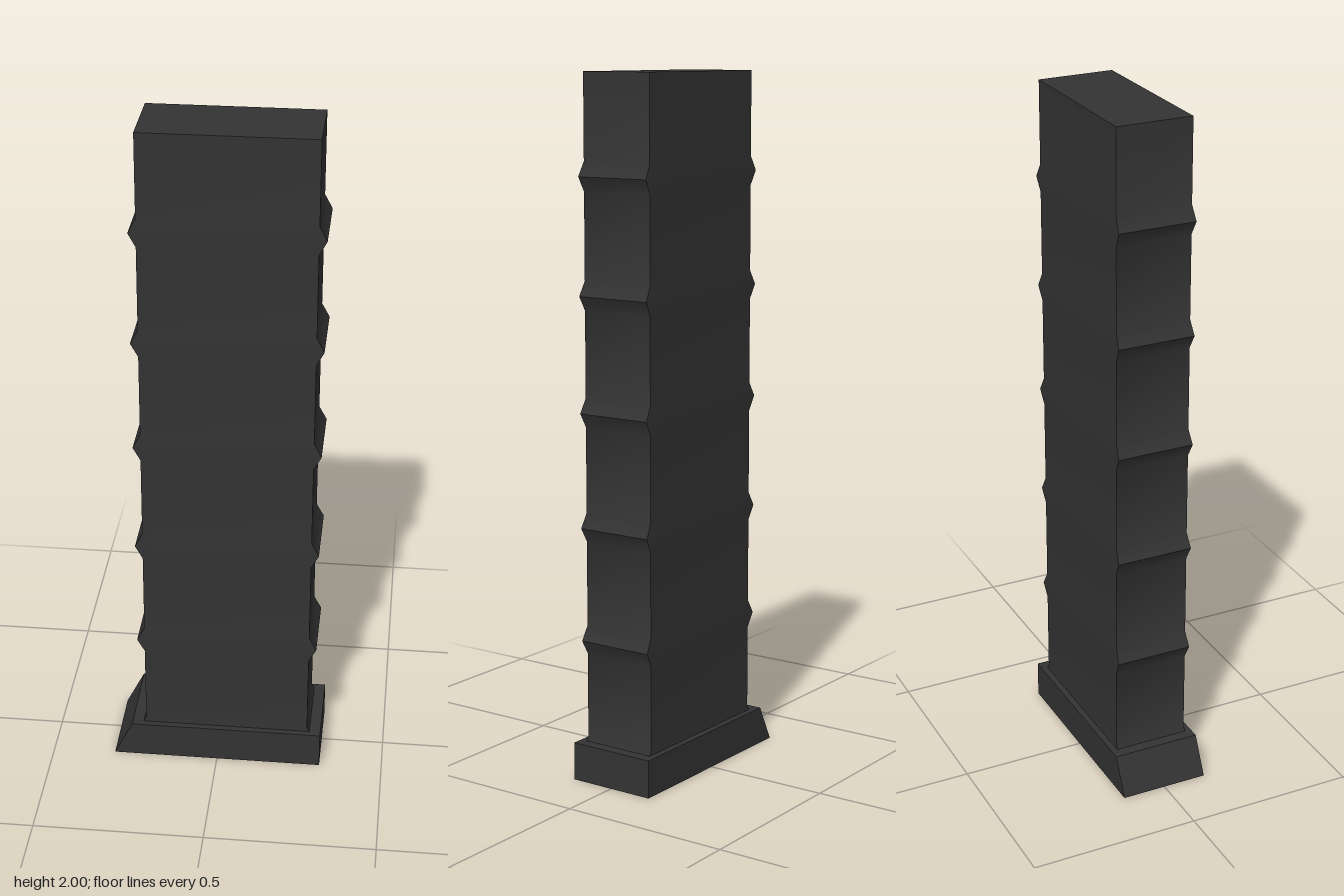
import * as THREE from 'three';
import { toCreasedNormals } from 'three/addons/utils/BufferGeometryUtils.js';

const material = new THREE.MeshStandardMaterial({ color: 0x333333 });

// Rectangular column with evenly spaced pointed ridges
function ribbedBody() {
  const pitch = 0.327, foot = 0.041;
  const levels = [[0.083, 1]]; // [height, ridge amount]
  for (let i = 0; i < 6; i++) {
    const y = 0.083 + i * pitch;
    if (i > 0) levels.push([y - foot, 0], [y, 1]);
    levels.push([y + foot, 0]);
  }
  levels.push([2, 0]);

  const n = levels.length - 1;
  const geometry = new THREE.BoxGeometry(1, 1, 1, 1, n, 1);
  const p = geometry.attributes.position;
  for (let i = 0; i < p.count; i++) {
    const [y, ridge] = levels[Math.round((p.getY(i) + 0.5) * n)];
    const halfX = 0.2445 + 0.0215 * ridge;
    const halfZ = 0.111 + 0.003 * ridge;
    p.setXYZ(i, 0.027 + Math.sign(p.getX(i)) * halfX, y, Math.sign(p.getZ(i)) * halfZ);
  }
  return toCreasedNormals(geometry, THREE.MathUtils.degToRad(40));
}

// Base plate with one sloping end
function basePlate() {
  const shape = new THREE.Shape([
    new THREE.Vector2(-0.313, 0),
    new THREE.Vector2(0.312, 0),
    new THREE.Vector2(0.312, 0.11),
    new THREE.Vector2(-0.258, 0.11),
  ]);
  return new THREE.ExtrudeGeometry(shape, { depth: 0.262, bevelEnabled: false }).translate(0, 0, -0.131);
}

export function createModel() {
  const group = new THREE.Group();
  const add = (name, geometry) => {
    const mesh = new THREE.Mesh(geometry, material);
    mesh.name = name;
    group.add(mesh);
  };
  add('ribbedBody', ribbedBody());
  add('basePlate', basePlate());
  return group;
}
